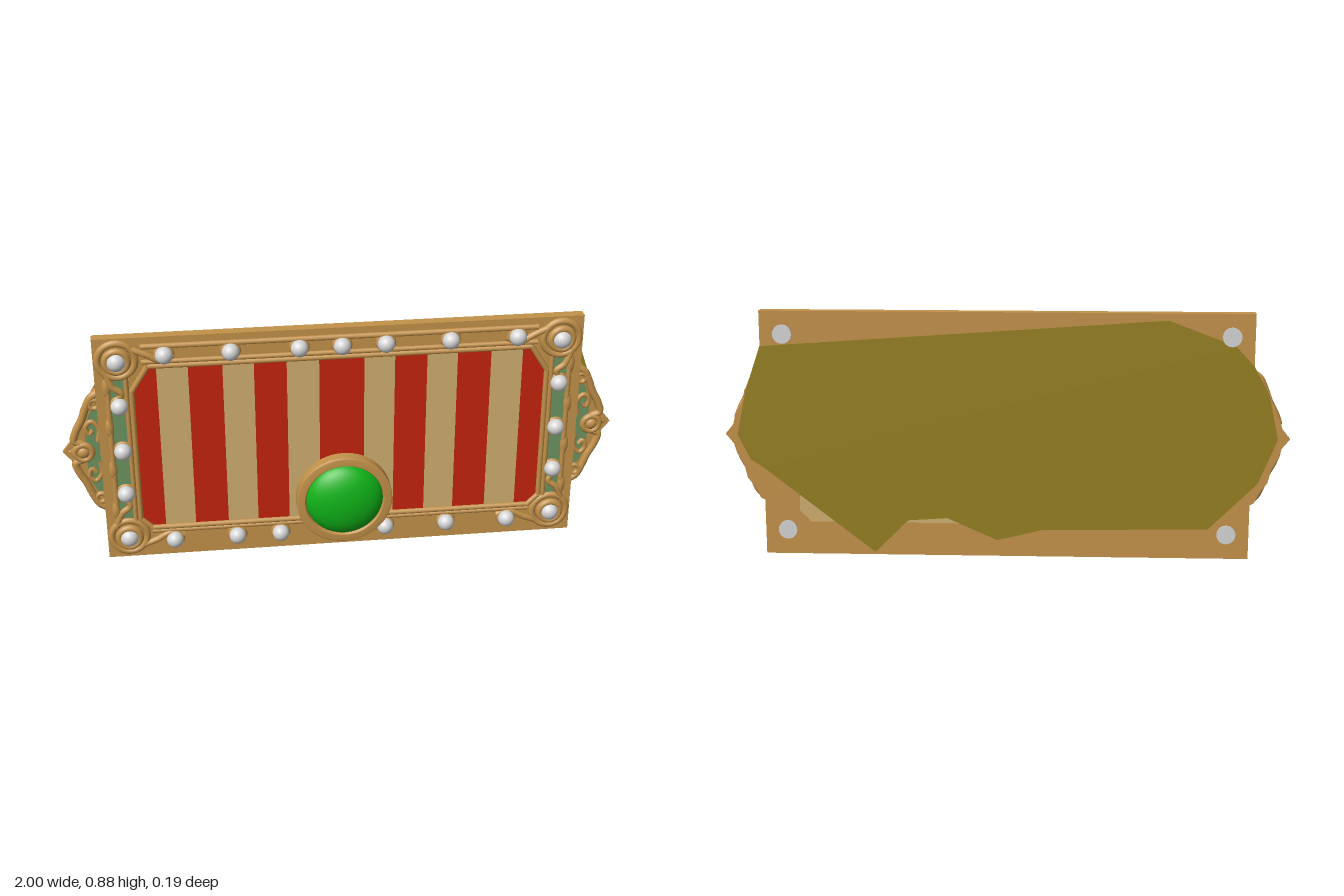
import * as THREE from 'three';

const mat = (name, color, extra = {}) => {
  const m = new THREE.MeshStandardMaterial({ color, ...extra });
  m.name = name;
  return m;
};

export function createModel() {
  const root = new THREE.Group();
  root.name = 'ornateSignPanel';
  const gold = mat('gold', 0xc4924a);
  const tan = mat('tan', 0xd0af70);
  const red = mat('red', 0xc6230f);
  const green = mat('gemGreen', 0x10b418);
  const silver = mat('bulbSilver', 0xd6d6d6);
  const sage = mat('sage', 0x6f9460);
  const olive = mat('olive', 0x95801f);

  const add = (name, geo, material, x = 0, y = 0, z = 0, parent = root) => {
    const m = new THREE.Mesh(geo, material);
    m.name = name;
    m.position.set(x, y, z);
    parent.add(m);
    return m;
  };
  const poly = (pts) => new THREE.Shape(pts.map(([x, y]) => new THREE.Vector2(x, y)));
  const slab = (shape, depth, bevel = 0) => new THREE.ExtrudeGeometry(shape, {
    depth, bevelEnabled: bevel > 0, bevelSize: bevel, bevelThickness: bevel, bevelSegments: 2, curveSegments: 20,
  });
  const tube = (pts, r, closed = false) => new THREE.TubeGeometry(
    new THREE.CatmullRomCurve3(pts.map((p) => new THREE.Vector3(...p)), closed), closed ? 80 : 36, r, 8, closed);
  const rod = (name, x0, y0, x1, y1, z, r) => {
    const a = new THREE.Vector3(x0, y0, z), b = new THREE.Vector3(x1, y1, z);
    add(name, new THREE.TubeGeometry(new THREE.LineCurve3(a, b), 1, r, 8), gold);
  };

  // Outer frame with a chamfered opening
  const frame = poly([[-0.865, 0], [0.865, 0], [0.865, 0.885], [-0.865, 0.885]]);
  const opening = [[-0.74, 0.16], [-0.70, 0.12], [0.70, 0.12], [0.74, 0.16],
    [0.74, 0.68], [0.68, 0.775], [-0.68, 0.775], [-0.74, 0.68]];
  frame.holes.push(new THREE.Path(opening.map(([x, y]) => new THREE.Vector2(x, y))));
  add('frame', slab(frame, 0.038), gold, 0, 0, -0.086);
  for (let i = 0; i < opening.length; i++) {
    const [x0, y0] = opening[i], [x1, y1] = opening[(i + 1) % opening.length];
    rod('innerMoulding', x0, y0, x1, y1, -0.046, 0.010);
  }

  // Raised mouldings on the rails
  rod('topMoulding', -0.7, 0.792, 0.7, 0.792, -0.046, 0.009);
  rod('topMoulding', -0.7, 0.85, 0.7, 0.85, -0.047, 0.010);
  rod('bottomMoulding', -0.7, 0.105, 0.7, 0.105, -0.046, 0.009);
  for (const s of [-1, 1]) {
    rod('sideMoulding', s * 0.757, 0.15, s * 0.757, 0.74, -0.045, 0.009);
    rod('sideMoulding', s * 0.822, 0.15, s * 0.822, 0.74, -0.046, 0.010);
    add('sideInlay', new THREE.BoxGeometry(0.06, 0.58, 0.005), sage, s * 0.79, 0.445, -0.0465);
    for (const y of [0.2, 0.37, 0.54, 0.7]) {
      const leaf = add('sideLeaf', new THREE.SphereGeometry(1, 12, 8), gold, s * 0.825, y, -0.048);
      leaf.scale.set(0.016, 0.04, 0.014);
    }
  }

  // Striped panel
  add('panel', slab(poly(opening), 0.036), tan, 0, 0, -0.085);
  const topAt = (x) => 0.775 - Math.max(0, Math.abs(x) - 0.68) * 1.58;
  const lowAt = (x) => 0.12 + Math.max(0, Math.abs(x) - 0.70);
  const stripes = [[-0.74, -0.65], [-0.54, -0.42], [-0.31, -0.195], [-0.08, 0.08],
    [0.19, 0.305], [0.415, 0.535], [0.65, 0.74]];
  for (const [a, b] of stripes) {
    const xs = [a, ...[-0.70, -0.68, 0.68, 0.70].filter((x) => x > a && x < b), b];
    const outline = [...xs.map((x) => [x, lowAt(x)]), ...xs.slice().reverse().map((x) => [x, topAt(x)])];
    add('redStripe', slab(poly(outline), 0.003), red, 0, 0, -0.0495);
  }

  // Backing sheet
  const back = [[0.865, 0.76], [-0.565, 0.86], [-0.80, 0.77], [-0.865, 0.70], [-0.92, 0.6], [-0.955, 0.44],
    [-0.89, 0.28], [-0.72, 0.11], [-0.13, 0.1], [0.03, 0.06], [0.21, 0.14], [0.35, 0.13],
    [0.47, 0.01], [0.865, 0.32], [0.91, 0.35], [0.955, 0.44], [0.92, 0.6]];
  add('backingSheet', slab(poly(back), 0.004), olive, 0, 0, -0.0905);

  // Bulbs in small sockets
  const bulbGeo = new THREE.SphereGeometry(0.031, 20, 14);
  const socketGeo = new THREE.TorusGeometry(0.027, 0.010, 8, 24);
  const bulb = (x, y) => {
    add('bulb', bulbGeo, silver, x, y, -0.032);
    add('bulbSocket', socketGeo, gold, x, y, -0.046);
  };
  for (const x of [-0.62, -0.39, -0.15, 0, 0.155, 0.385, 0.625]) bulb(x, 0.82);
  for (const x of [-0.62, -0.39, -0.23, 0.16, 0.39, 0.62]) bulb(x, 0.07);
  for (const s of [-1, 1]) for (const y of [0.275, 0.45, 0.63]) bulb(s * 0.785, y);

  // Corner rosettes, with bulb ends showing through at the back
  for (const sx of [-1, 1]) for (const [y, sy] of [[0.09, -1], [0.803, 1]]) {
    const g = new THREE.Group();
    g.name = 'cornerRosette';
    g.position.set(sx * 0.785, y, 0);
    root.add(g);
    add('rosetteOuterRing', new THREE.TorusGeometry(0.065, 0.013, 8, 32), gold, 0, 0, -0.046, g);
    add('rosetteInnerRing', new THREE.TorusGeometry(0.039, 0.013, 8, 28), gold, 0, 0, -0.034, g);
    add('cornerBulb', new THREE.SphereGeometry(0.034, 20, 14), silver, 0, 0, -0.034, g);
    const cap = add('bulbEnd', new THREE.CylinderGeometry(0.034, 0.034, 0.008, 16), silver, 0, 0, -0.0885, g);
    cap.rotation.x = Math.PI / 2;
    // Leaf scrolls running along both rails
    const a = -sx, b = -sy;
    add('cornerScroll', tube([[a * 0.04, -b * 0.045, -0.046], [a * 0.10, -b * 0.02, -0.042],
      [a * 0.15, b * 0.005, -0.044], [a * 0.2, -b * 0.01, -0.05]], 0.012), gold, 0, 0, 0, g);
    add('cornerScroll', tube([[-a * 0.045, b * 0.04, -0.046], [-a * 0.02, b * 0.10, -0.042],
      [a * 0.01, b * 0.13, -0.044], [-a * 0.02, b * 0.17, -0.05]], 0.012), gold, 0, 0, 0, g);
  }

  // Scrolled crest on each side
  const half = [[0.85, 0.25], [0.88, 0.235], [0.895, 0.2], [0.925, 0.16], [0.935, 0.115], [0.96, 0.07], [0.97, 0.035]];
  const mid = 0.442;
  for (const s of [-1, 1]) {
    const edge = [...half.map(([x, d]) => [s * x, mid + d]), [s * 0.998, mid],
      ...half.slice().reverse().map(([x, d]) => [s * x, mid - d])];
    add('crestBase', slab(poly(edge), 0.018), gold, 0, 0, -0.086);
    const inlay = [[0.866, 0.19], [0.895, 0.15], [0.915, 0.09], [0.915, -0.09], [0.895, -0.15], [0.866, -0.19]];
    add('crestInlay', slab(poly(inlay.map(([x, d]) => [s * x, mid + d])), 0.004), sage, 0, 0, -0.069);
    for (const v of [-1, 1]) {
      const p = (x, d, z = -0.064) => [s * x, mid + v * d, z];
      add('crestOuterScroll', tube([p(0.855, 0.235), p(0.885, 0.215), p(0.905, 0.175), p(0.922, 0.13),
        p(0.945, 0.085), p(0.955, 0.045), p(0.925, 0.03)], 0.014), gold);
      add('crestInnerScroll', tube([p(0.87, 0.04), p(0.865, 0.09), p(0.89, 0.12), p(0.91, 0.10),
        p(0.90, 0.07), p(0.885, 0.085)], 0.009), gold);
      add('crestCurl', new THREE.TorusGeometry(0.017, 0.009, 8, 20), gold, s * 0.875, mid + v * 0.19, -0.06);
    }
    add('crestRosette', new THREE.TorusGeometry(0.03, 0.012, 8, 24), gold, s * 0.925, mid, -0.06);
    const boss = add('crestBoss', new THREE.SphereGeometry(0.024, 16, 10), gold, s * 0.925, mid, -0.062);
    boss.scale.z = 0.8;
    const tip = add('crestTip', new THREE.ConeGeometry(0.022, 0.06, 10), gold, s * 0.97, mid, -0.073);
    tip.rotation.z = -s * Math.PI / 2;
    tip.scale.z = 0.7;
  }

  // Medallion ring, closed behind, with a domed gem
  const ringProfile = [[0, -0.004], [0.175, -0.004], [0.175, -0.004], [0.175, 0.036], [0.175, 0.036],
    [0.17, 0.041], [0.145, 0.041], [0.145, 0.041], [0.138, 0.032], [0.138, 0.01]];
  const ring = add('medallionRing', new THREE.LatheGeometry(
    ringProfile.map(([r, h]) => new THREE.Vector2(r, h)), 56), gold, 0, 0.234, 0);
  ring.rotation.x = Math.PI / 2;
  const gem = add('gemDome', new THREE.SphereGeometry(1, 40, 14, 0, Math.PI * 2, 0, Math.PI / 2), green, 0, 0.238, 0.025);
  gem.rotation.x = Math.PI / 2;
  gem.scale.set(0.142, 0.07, 0.142);
  // Bulb holding the medallion off the panel
  add('medallionBulb', bulbGeo, silver, 0, 0.1, -0.03);

  return root;
}
